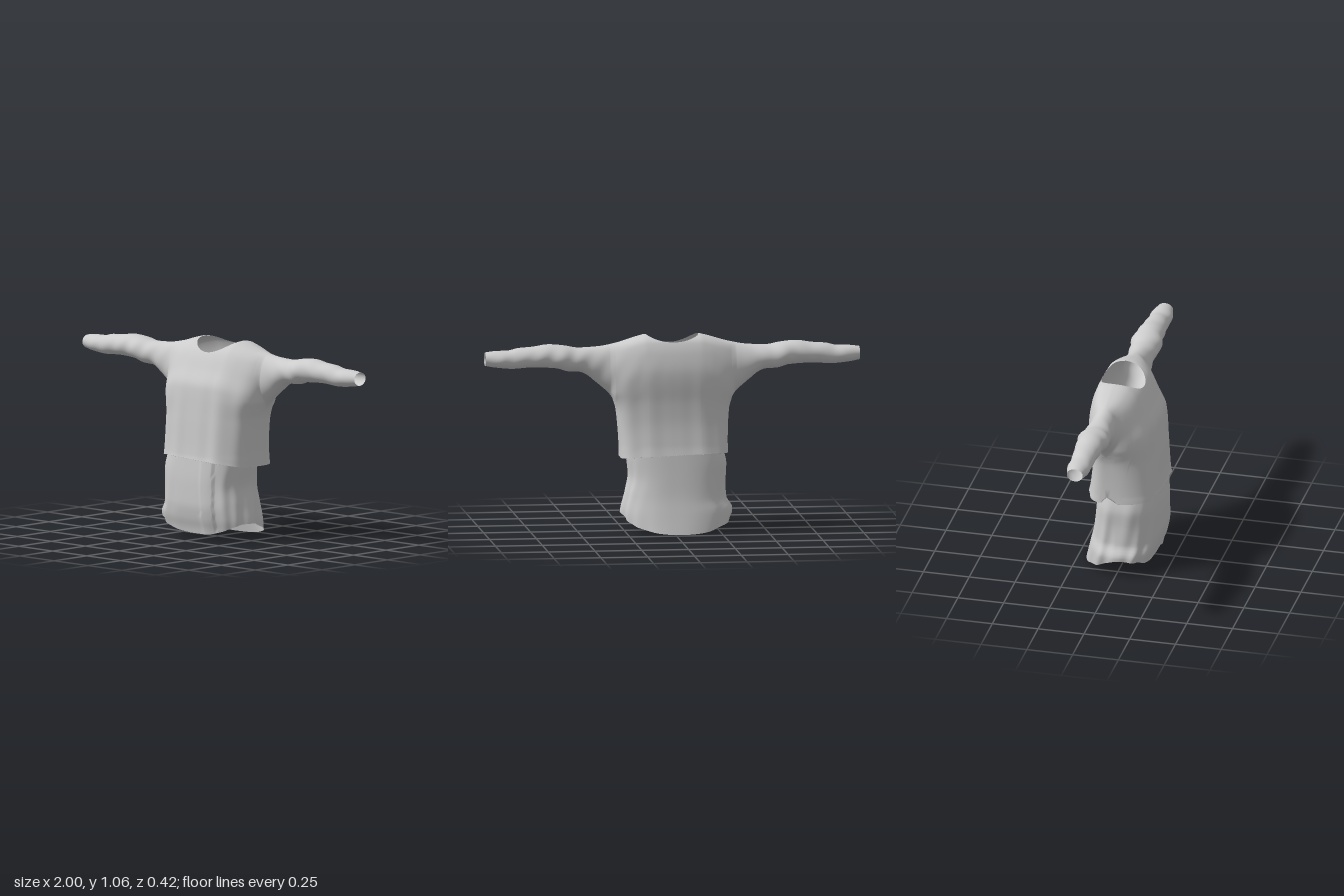
import * as THREE from 'three';
import { mergeVertices } from 'three/addons/utils/BufferGeometryUtils.js';

const cloth = new THREE.MeshStandardMaterial({ color: 0xcccccc, side: THREE.DoubleSide });

// Smooth monotone curve through [position, value] pairs
function table(...p) {
  const n = p.length;
  const slope = (i) => (p[i + 1][1] - p[i][1]) / (p[i + 1][0] - p[i][0]);
  const tangent = p.map((_, i) => {
    if (i === 0) return slope(0);
    if (i === n - 1) return slope(n - 2);
    const a = slope(i - 1), b = slope(i);
    return a * b > 0 ? (2 * a * b) / (a + b) : 0;
  });
  return (x) => {
    if (x <= p[0][0]) return p[0][1];
    if (x >= p[n - 1][0]) return p[n - 1][1];
    let i = 0;
    while (x > p[i + 1][0]) i++;
    const h = p[i + 1][0] - p[i][0], t = (x - p[i][0]) / h, r = 1 - t;
    return p[i][1] * (1 + 2 * t) * r * r + p[i + 1][1] * t * t * (3 - 2 * t)
      + h * (tangent[i] * t * r * r - tangent[i + 1] * t * t * r);
  };
}

// Grid of quads from point(i, j), with i across and j down
function grid(cols, rows, point, flip, pos, idx) {
  const base = pos.length / 3;
  for (let i = 0; i < cols; i++) for (let j = 0; j < rows; j++) pos.push(...point(i, j));
  for (let i = 0; i < cols - 1; i++) {
    for (let j = 0; j < rows - 1; j++) {
      const a = base + i * rows + j, b = a + 1, d = a + rows, c = d + 1;
      if (flip) idx.push(a, c, b, a, d, c);
      else idx.push(a, b, c, a, c, d);
    }
  }
}

function clothMesh(pos, idx, name) {
  let geo = new THREE.BufferGeometry();
  geo.setAttribute('position', new THREE.Float32BufferAttribute(pos, 3));
  geo.setIndex(idx);
  geo = mergeVertices(geo, 1e-5);
  geo.computeVertexNormals();
  const mesh = new THREE.Mesh(geo, cloth);
  mesh.name = name;
  return mesh;
}

// Sweater outline by distance from the middle
const WAIST = 0.283, NECK = 0.14, ZC = -0.05;
const topLine = table([0.15, 1.06], [0.2, 1.047], [0.3, 1.018], [0.4, 1.0], [0.5, 0.995], [0.58, 1.008],
  [0.66, 1.015], [0.75, 1.003], [0.82, 0.998], [0.88, 0.985], [0.94, 0.984], [1, 0.977]);
// Side seam from the hem to the underarm, then the underside of the sleeve
const underLine = table([WAIST, 0.41], [0.29, 0.55], [0.3, 0.66], [0.315, 0.712], [0.34, 0.75], [0.38, 0.787],
  [0.42, 0.82], [0.46, 0.852], [0.5, 0.867], [0.56, 0.87], [0.62, 0.887], [0.75, 0.894], [0.85, 0.888],
  [0.95, 0.897], [1, 0.906]);
const bodyWidth = table([0.41, WAIST], [0.55, 0.29], [0.66, 0.3], [0.712, 0.315], [0.76, 0.33], [0.9, 0.34]);
const sleeveDepth = table([0.2, 0.09], [0.3, 0.08], [0.42, 0.07], [0.52, 0.074], [0.58, 0.084], [0.66, 0.072],
  [0.75, 0.067], [0.82, 0.06], [0.9, 0.06], [0.95, 0.055], [1, 0.043]);
// Chest and back depth by drop below the shoulder line
const chest = table([0, 0], [0.004, 0.04], [0.02, 0.085], [0.06, 0.13], [0.15, 0.178], [0.24, 0.222],
  [0.4, 0.236], [0.6, 0.248], [0.66, 0.262]);
const back = table([0, 0], [0.004, 0.04], [0.015, 0.07], [0.035, 0.09], [0.1, 0.11], [0.2, 0.122],
  [0.45, 0.112], [0.58, 0.122], [0.66, 0.138]);
const boxiness = table([0.45, 3.4], [0.65, 3], [0.8, 2.7], [0.95, 2.4]);

function depthAt(x, y, front) {
  const ax = Math.abs(x), top = topLine(ax), under = Math.max(0.7, underLine(ax));
  const u = Math.min(1, ax / bodyWidth(y)), n = boxiness(y);
  const fold = 1 + 0.035 * Math.sin(x * 48 + (front ? 0 : 2)) * u * Math.min(1, (top - y) * 3);
  const torso = (front ? chest : back)(top - y) * Math.pow(1 - u ** n, 1 / n) * fold;
  const v = (y - (top + under) / 2) / ((top - under) / 2);
  const crease = 1 + 0.03 * Math.sin(ax * 60 + y * 30) * Math.min(1, ax * 2);
  const sleeve = sleeveDepth(ax) * Math.sqrt(Math.max(0, 1 - v * v)) * crease;
  return Math.pow(torso ** 4 + sleeve ** 4, 0.25);
}

function makeSweater() {
  // Columns gather at the neck edge and along the side seams
  const half = [];
  for (let i = 1; i <= 16; i++) half.push(NECK * Math.sin((i / 16) * Math.PI / 2));
  for (let i = 1; i <= 18; i++) half.push(NECK + (WAIST - NECK) * Math.sin((i / 18) * Math.PI / 2));
  for (let i = 1; i <= 24; i++) half.push(WAIST + 0.057 * (i / 24));
  for (let i = 1; i <= 48; i++) half.push(0.34 + 0.66 * (i / 48));
  const xs = [...half.map((x) => -x).reverse(), 0, ...half];
  const pos = [], idx = [], N = 48;
  for (const front of [true, false]) {
    const point = (i, j) => {
      const x = xs[i], ax = Math.abs(x), open = ax <= WAIST + 1e-6;
      const scoop = Math.max(0, 1 - (ax / NECK) ** 2);
      const top = topLine(ax) - (front ? 0.062 : 0.034) * scoop;
      const hem = (front ? 0.437 : 0.425) - x * 0.04 - (front ? 0.022 : 0.01) * (ax / WAIST) ** 4;
      const bottom = open ? hem : Math.max(underLine(ax), 0.415 - x * 0.04);
      const t = (1 - Math.cos(Math.PI * Math.min(1, j / N))) / 2;
      let y = top - (top - bottom) * t;
      // Front and back meet along the seam
      let d = !open && j >= N ? 0 : depthAt(x, y, front), px = x;
      // Last row turns the hem inward
      if (j > N && open) { y += 0.006; d *= 0.88; px *= 0.96; }
      // Slight flare and sideways drift towards the hem
      px += x * 0.25 * Math.max(0, 0.47 - y) - 0.03 * Math.max(0, 0.75 - y);
      return [px, y, ZC + (front ? d : -d)];
    };
    grid(xs.length, N + 2, point, !front, pos, idx);
  }
  return clothMesh(pos, idx, 'sweater');
}

// Loose shirt tail hanging below the sweater
function makeShirtTail() {
  const pos = [], idx = [], cols = 161, rows = 26;
  const right = table([0, 0.3], [0.12, 0.325], [0.18, 0.295], [0.28, 0.292], [0.36, 0.295], [0.46, 0.27]);
  const left = table([0, 0.25], [0.1, 0.262], [0.2, 0.245], [0.3, 0.225], [0.4, 0.235], [0.46, 0.24]);
  const frontZ = table([0, 0.15], [0.06, 0.162], [0.12, 0.182], [0.2, 0.196], [0.3, 0.197], [0.46, 0.188]);
  const backZ = table([0, 0.215], [0.1, 0.19], [0.2, 0.168], [0.3, 0.155], [0.46, 0.138]);
  const soft = (v, e) => Math.sign(v) * Math.pow(Math.abs(v), e);
  const point = (i, j) => {
    const a = (i % (cols - 1)) / (cols - 1) * Math.PI * 2;
    const c = Math.cos(a), s = Math.sin(a);
    const low = j / (rows - 1), e = s > 0 ? 0.68 : 0.75 + 0.1 * low;
    const hem = s > 0 ? 0.1 - 0.065 * s ** 2.5 : 0.1 + 0.095 * s - 0.012 * c * s;
    const y = 0.46 + (hem - 0.46) * low;
    // Pleats are strongest near the hem and at the sides
    const pleat = 1 + low * (0.014 * Math.sin(a * 9 + 1) + 0.02 * Math.abs(c) * Math.sin(a * 14 + y * 12));
    const x = soft(c, e) * (c > 0 ? left(y) : right(y)) * pleat;
    let z = soft(s, e) * (s > 0 ? frontZ(y) * pleat : backZ(y));
    // Button placket edge on the front
    if (s > 0.3 && x > 0.06 && x < 0.14) z += 0.008;
    return [x, y, z];
  };
  grid(cols, rows, point, true, pos, idx);
  return clothMesh(pos, idx, 'shirtTail');
}

export function createModel() {
  const group = new THREE.Group();
  group.name = 'layeredTop';
  group.add(makeSweater(), makeShirtTail());
  return group;
}
